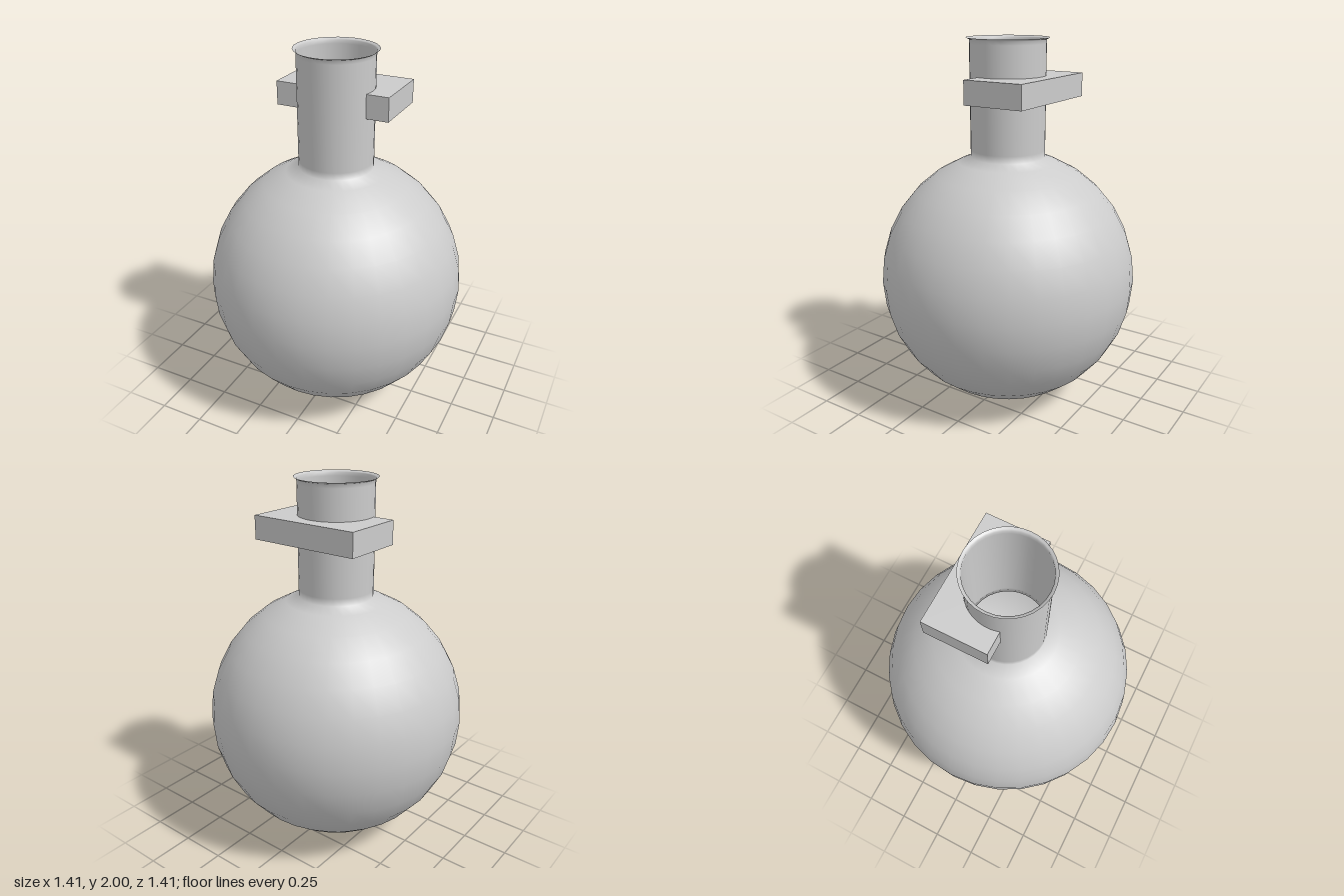
import * as THREE from 'three';

export function createModel() {
  const group = new THREE.Group();
  const grey = new THREE.MeshStandardMaterial({ color: 0xcccccc, side: THREE.DoubleSide });
  const R = 0.703, neckR = 0.2;

  const add = (name, geometry) => {
    const mesh = new THREE.Mesh(geometry, grey);
    mesh.name = name;
    group.add(mesh);
  };

  // Open round-bottomed flask: bulb, neck and flared lip in one smooth profile
  const profile = [];
  for (let i = 0; i <= 14; i++) {
    const a = (i * Math.PI) / 16;
    profile.push(new THREE.Vector2(R * Math.sin(a), R - R * Math.cos(a)));
  }
  for (const [r, y] of [[neckR, 1.38], [neckR, 1.42], [neckR, 1.97], [neckR, 1.99], [0.208, 1.994], [0.217, 2]]) {
    profile.push(new THREE.Vector2(r, y));
  }
  add('flask', new THREE.LatheGeometry(profile, 32));

  // Clamp block around the back of the neck, open to the front
  const front = -0.06, back = 0.275, halfWidth = 0.31;
  const start = Math.asin(front / neckR);
  const shape = new THREE.Shape();
  shape.moveTo(-halfWidth, front);
  shape.lineTo(-neckR * Math.cos(start), front);
  shape.absarc(0, 0, neckR, Math.PI - start, start, true);
  shape.lineTo(halfWidth, front);
  shape.lineTo(halfWidth, back);
  shape.lineTo(-halfWidth, back);
  shape.closePath();
  const clamp = new THREE.ExtrudeGeometry(shape, { depth: 0.125, bevelEnabled: false, curveSegments: 24 });
  clamp.rotateX(-Math.PI / 2).translate(0, 1.685, 0);
  add('neckClamp', clamp);

  return group;
}
